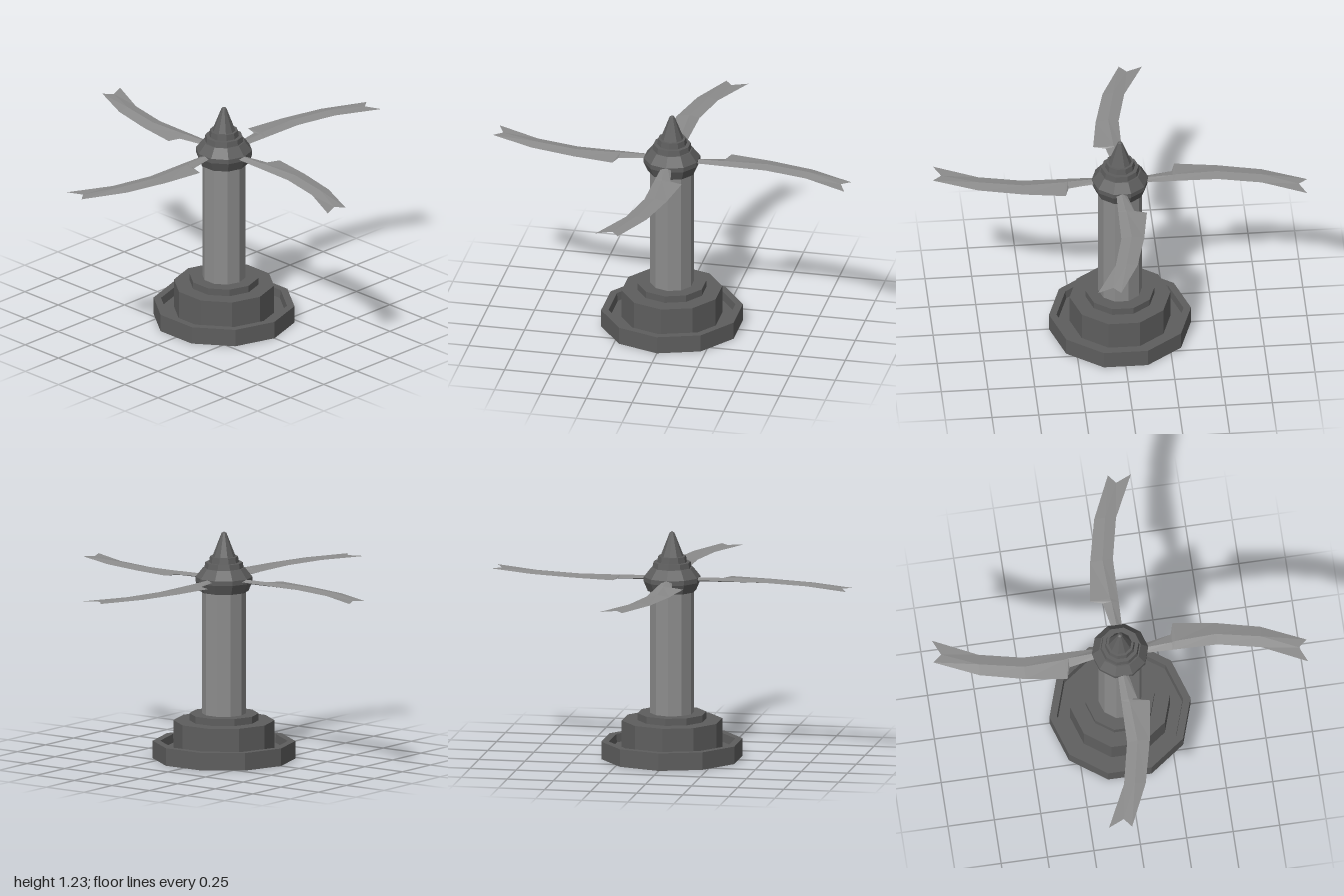
import * as THREE from 'three';

const SIDES = 10;

// Faceted ring-shaped part from [radius, height] pairs
function turned(name, profile, material) {
  const points = profile.map(([r, y]) => new THREE.Vector2(r, y));
  const mesh = new THREE.Mesh(new THREE.LatheGeometry(points, SIDES), material);
  mesh.name = name;
  return mesh;
}

// Curved blade along +z with a diamond section and a notched tip
function bladeGeometry(y) {
  // left [x, z], ridge [x, z], right [x, z], half thickness
  const stations = [
    [[-0.03, 0.1], [-0.005, 0.1], [0.018, 0.1], 0.011],
    [[-0.034, 0.28], [0.005, 0.28], [0.053, 0.28], 0.011],
    [[-0.034, 0.3], [0.01, 0.3], [0.118, 0.3], 0.011],
    [[-0.038, 0.52], [0.018, 0.52], [0.085, 0.52], 0.011],
    [[-0.088, 0.75], [-0.03, 0.755], [0.028, 0.76], 0.011],
    [[-0.203, 0.984], [-0.118, 0.947], [-0.08, 0.995], 0.001],
  ].map(([l, m, r, t]) => [
    [l[0], y, l[1]], [m[0], y + t, m[1]], [r[0], y, r[1]], [m[0], y - t, m[1]],
  ]);
  const pos = [];
  for (let s = 0; s < stations.length - 1; s++) {
    for (let i = 0; i < 4; i++) {
      const j = (i + 1) % 4;
      const a0 = stations[s][i], b0 = stations[s][j];
      const a1 = stations[s + 1][i], b1 = stations[s + 1][j];
      pos.push(...a0, ...a1, ...b1, ...a0, ...b1, ...b0);
    }
  }
  const g = new THREE.BufferGeometry();
  g.setAttribute('position', new THREE.Float32BufferAttribute(pos, 3));
  g.computeVertexNormals();
  return g;
}

export function createModel() {
  const dark = new THREE.MeshStandardMaterial({ color: 0x5e5e5e, flatShading: true, side: THREE.DoubleSide });
  dark.name = 'dark grey';
  const light = new THREE.MeshStandardMaterial({ color: 0x8c8c8c, flatShading: true });
  light.name = 'light grey';

  const model = new THREE.Group();
  model.name = 'rotorTower';

  // Hollow stepped base with a raised rim around a shallow gutter
  model.add(turned('base', [
    [0.38, 0], [0.38, 0.095], [0.34, 0.095], [0.335, 0.05], [0.27, 0.05],
    [0.27, 0.207], [0.185, 0.207], [0.185, 0.245], [0, 0.245],
  ], dark));

  // Column
  const column = new THREE.Mesh(new THREE.CylinderGeometry(0.117, 0.117, 0.68, SIDES, 1, true), light);
  column.name = 'column';
  column.position.y = 0.58;
  model.add(column);

  // Hub with stepped cap and spike
  model.add(turned('hub', [
    [0, 0.908], [0.13, 0.908], [0.152, 0.96], [0.152, 0.985], [0.112, 1.035],
    [0.105, 1.035], [0.1, 1.064], [0.08, 1.064], [0.075, 1.096], [0.062, 1.096],
    [0.013, 1.222], [0, 1.23],
  ], dark));

  // Four blades
  const geometry = bladeGeometry(0.974);
  for (let i = 0; i < 4; i++) {
    const blade = new THREE.Mesh(geometry, light);
    blade.name = 'blade' + (i + 1);
    blade.rotation.y = i * Math.PI / 2;
    model.add(blade);
  }
  return model;
}
